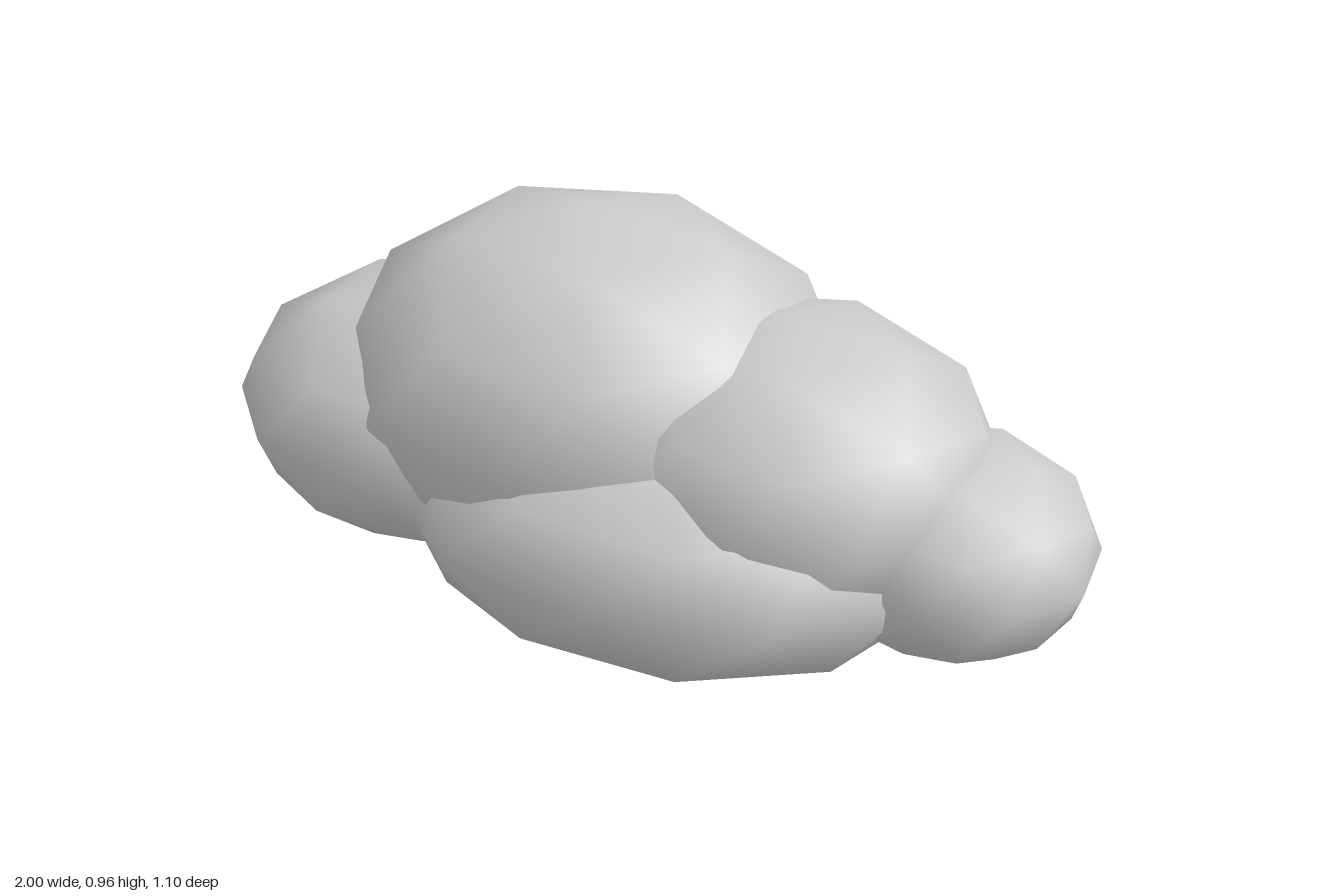
import * as THREE from 'three';

// name, centre, radii of each puff of the cloud
const PUFFS = [
  ['topPuff', [-0.16, 0.53, -0.05], [0.6, 0.43, 0.5]],
  ['frontPuff', [0.08, 0.32, 0.095], [0.64, 0.32, 0.45]],
  ['rightEndPuff', [-0.54, 0.417, 0], [0.485, 0.32, 0.4]],
  ['leftPuff', [0.32, 0.46, 0], [0.475, 0.345, 0.43]],
  ['leftEndPuff', [0.7, 0.338, 0], [0.313, 0.243, 0.307]],
];

export function createModel() {
  const cloud = new THREE.Group();
  cloud.name = 'cloud';
  const material = new THREE.MeshStandardMaterial({ color: 0xcccccc });

  // Smooth 80-sided icosphere, turned so that one corner is the top pole
  const tilt = Math.atan(2 / (1 + Math.sqrt(5)));
  const icosphere = new THREE.IcosahedronGeometry(1, 1).rotateZ(-tilt);

  for (const [name, centre, radii] of PUFFS) {
    const puff = new THREE.Mesh(icosphere.clone().scale(...radii), material);
    puff.name = name;
    puff.position.set(...centre);
    cloud.add(puff);
  }
  return cloud;
}
